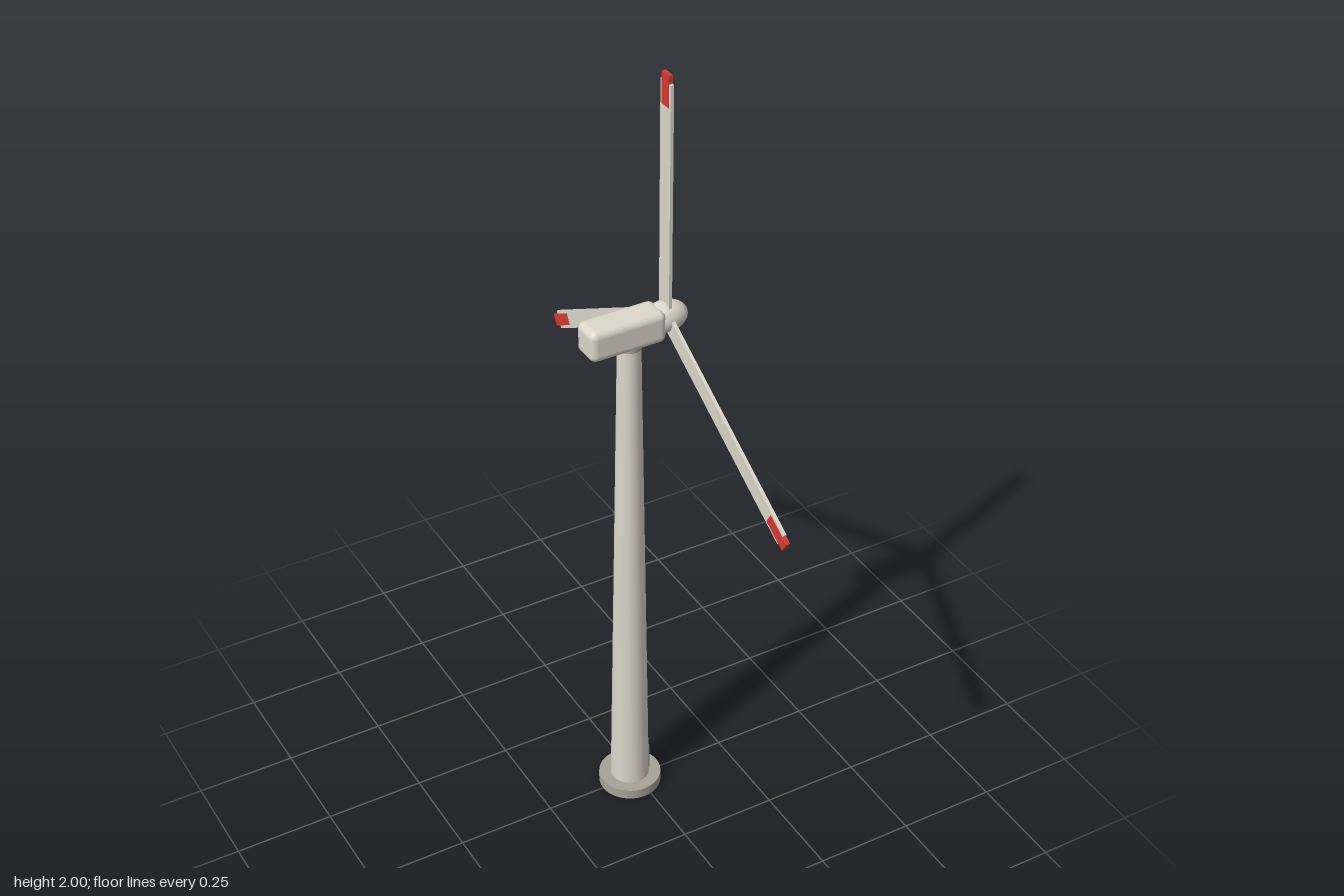
import * as THREE from 'three';
import { RoundedBoxGeometry } from 'three/addons/geometries/RoundedBoxGeometry.js';

const mat = (name, color) => {
  const m = new THREE.MeshStandardMaterial({ color });
  m.name = name;
  return m;
};

export function createModel() {
  const shell = mat('warm white', 0xdcd6ca);
  const concrete = mat('concrete grey', 0xa8a298);
  const red = mat('warning red', 0xd23a33);
  const blue = mat('door blue grey', 0x71809a);

  const model = new THREE.Group();
  model.name = 'windTurbine';
  const add = (parent, name, geometry, material, x = 0, y = 0, z = 0) => {
    const mesh = new THREE.Mesh(geometry, material);
    mesh.name = name;
    mesh.position.set(x, y, z);
    parent.add(mesh);
    return mesh;
  };

  const towerX = -0.018;
  const hubX = 0.077;
  const hubY = 1.385;

  // Foundation disc and tapering tower
  add(model, 'foundation', new THREE.CylinderGeometry(0.079, 0.079, 0.027, 40), concrete, towerX, 0.0135);
  add(model, 'tower', new THREE.CylinderGeometry(0.028, 0.049, 1.32, 40), shell, towerX, 0.685);
  add(model, 'yawCollar', new THREE.CylinderGeometry(0.03, 0.03, 0.02, 40), concrete, towerX, 1.341);

  // Access door at the foot, on the rotor side
  add(model, 'door', new THREE.BoxGeometry(0.009, 0.072, 0.025), blue, towerX + 0.0465, 0.063);

  // Nacelle
  add(model, 'nacelle', new RoundedBoxGeometry(0.197, 0.081, 0.078, 5, 0.018), shell, -0.0365, 1.379);

  // Rotor: pointed hub with three flat blades
  const rotor = new THREE.Group();
  rotor.name = 'rotor';
  rotor.position.set(hubX, hubY, 0);
  model.add(rotor);
  add(rotor, 'hub', new THREE.SphereGeometry(0.038, 32, 20), shell).scale.x = 1.45;

  for (let i = 0; i < 3; i++) {
    const blade = new THREE.Group();
    blade.name = 'blade' + (i + 1);
    blade.rotation.x = (i * Math.PI * 2) / 3;
    add(blade, 'bladePanel', new THREE.BoxGeometry(0.008, 0.58, 0.045), shell, 0, 0.305);
    add(blade, 'bladeTip', new THREE.BoxGeometry(0.011, 0.077, 0.03), red, 0, 0.5765);
    rotor.add(blade);
  }

  return model;
}
